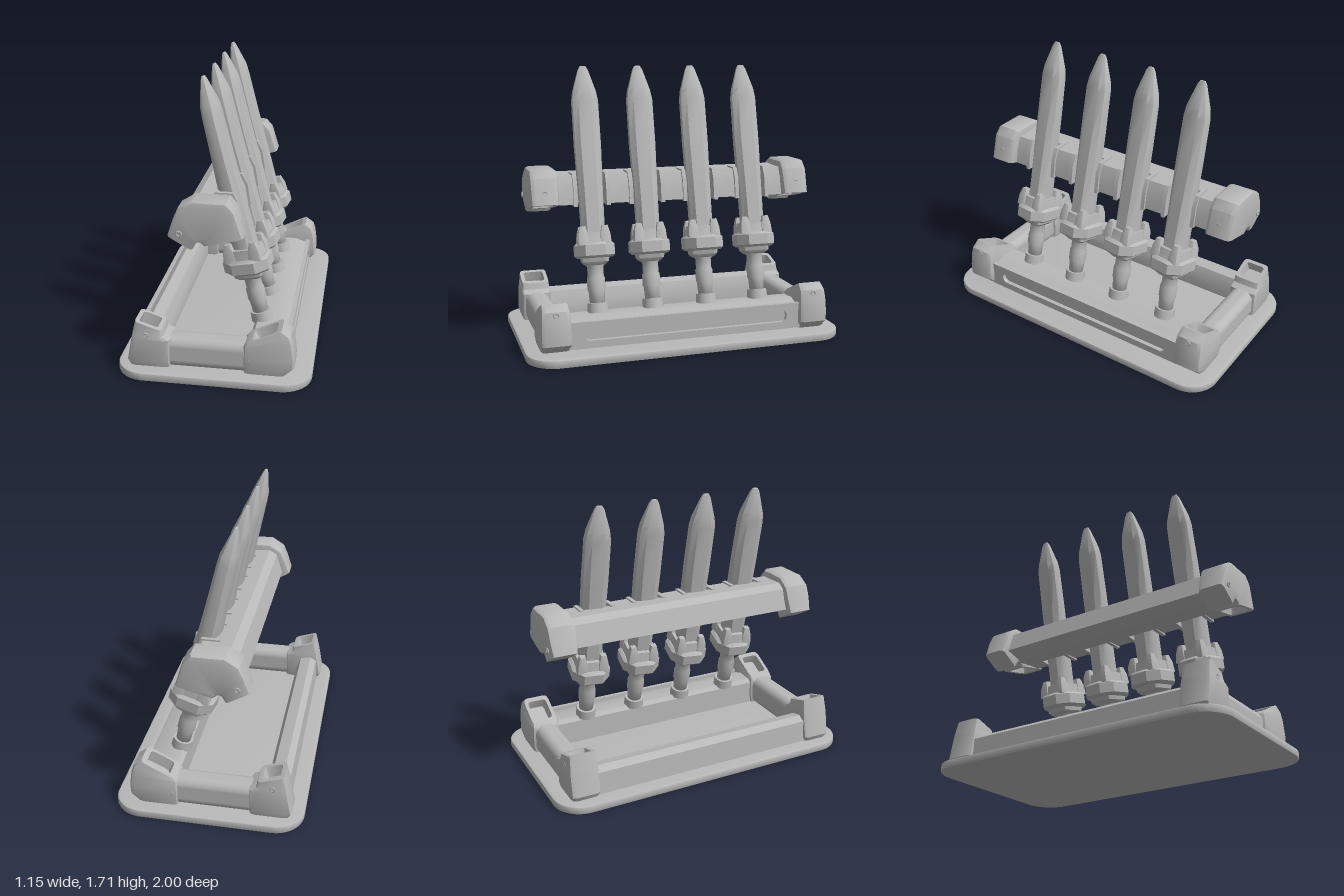
import * as THREE from 'three';
import { toCreasedNormals } from 'three/addons/utils/BufferGeometryUtils.js';
import { RoundedBoxGeometry } from 'three/addons/geometries/RoundedBoxGeometry.js';

const grey = new THREE.MeshStandardMaterial({ color: 0xb8b8b8 });
grey.name = 'plain grey';

// Unit cross-sections, counter-clockwise
const mirror4 = (q) => [0, 1, 2, 3].flatMap((k) => q.map(([u, v]) =>
  [[u, v], [-v, u], [-u, -v], [v, -u]][k]));
const ROUNDED = mirror4([[1, 0.7], [0.92, 0.92], [0.7, 1]]);
const BLADE = [[1, -0.5], [1, 0.5], [0.55, 0.92], [0, 1], [-0.55, 0.92], [-1, 0.5],
  [-1, -0.5], [-0.55, -0.92], [0, -1], [0.55, -0.92]];
const EIGHT = mirror4([[1, 0.5], [0.5, 1]]);

function mesh(name, geo, parent, x = 0, y = 0, z = 0) {
  const m = new THREE.Mesh(geo, grey);
  m.name = name;
  m.position.set(x, y, z);
  parent.add(m);
  return m;
}

// Skin through sections [ax, ay, bx, by, halfDepth]; pit > 0 hollows the last end
function loft(sections, ring = ROUNDED, pit = 0) {
  const list = [...sections];
  if (pit) {
    const [ax, ay, bx, by, h] = list[list.length - 1];
    const dx = bx - ax, dy = by - ay, len = Math.hypot(dx, dy), k = 0.15;
    const rim = [ax + dx * k, ay + dy * k, bx - dx * k, by - dy * k, h * 0.74];
    const sx = (dy / len) * pit, sy = (-dx / len) * pit;
    list.push(rim, [rim[0] + sx, rim[1] + sy, rim[2] + sx, rim[3] + sy, h * 0.66]);
  }
  const pos = [], idx = [], n = ring.length;
  for (const [ax, ay, bx, by, h] of list) {
    for (const [u, v] of ring) {
      const t = (u + 1) / 2;
      pos.push(ax + (bx - ax) * t, ay + (by - ay) * t, -v * h);
    }
  }
  for (let s = 0; s < list.length - 1; s++) {
    for (let i = 0; i < n; i++) {
      const a = s * n + i, b = s * n + (i + 1) % n;
      idx.push(a, b, b + n, a, b + n, a + n);
    }
  }
  const e = (list.length - 1) * n;
  for (let i = 1; i < n - 1; i++) idx.push(0, i + 1, i, e, e + i, e + i + 1);
  const g = new THREE.BufferGeometry();
  g.setAttribute('position', new THREE.Float32BufferAttribute(pos, 3));
  g.setIndex(idx);
  return toCreasedNormals(g, 0.6);
}

// Upright section list from [height, halfWidth, halfDepth]
const upright = (rows, ring) => loft(rows.map(([y, w, d]) => [-w, y, w, y, d]), ring);

// xy profile swept along z, centred
function bar(points, length) {
  const g = new THREE.ExtrudeGeometry(new THREE.Shape(points.map((p) => new THREE.Vector2(...p))),
    { depth: length, bevelEnabled: false });
  g.translate(0, 0, -length / 2);
  return toCreasedNormals(g, 0.5);
}

function roundRect(path, w, h, r) {
  path.moveTo(w - r, -h);
  path.absarc(w - r, -h + r, r, -Math.PI / 2, 0);
  path.absarc(w - r, h - r, r, 0, Math.PI / 2);
  path.absarc(-w + r, h - r, r, Math.PI / 2, Math.PI);
  path.absarc(-w + r, -h + r, r, Math.PI, Math.PI * 1.5);
  path.closePath();
  return path;
}

function makeSword() {
  const sword = new THREE.Group();
  sword.name = 'sword';
  mesh('pommel', new THREE.CylinderGeometry(0.062, 0.066, 0.06, 20), sword, 0, 0, 0);
  mesh('grip', new THREE.LatheGeometry([[0, 0.02], [0.046, 0.02], [0.05, 0.1], [0.056, 0.11], [0.056, 0.18],
    [0.05, 0.19], [0.05, 0.25], [0.07, 0.27], [0.07, 0.3], [0, 0.3]].map((p) => new THREE.Vector2(...p)), 16), sword);
  // Crossguard: collar, wide ring and pronged crown
  mesh('guardCollar', upright([[0.26, 0.065, 0.06], [0.28, 0.085, 0.082], [0.32, 0.095, 0.088]]), sword);
  mesh('guardRing', upright([[0.305, 0.125, 0.105], [0.32, 0.14, 0.122], [0.385, 0.14, 0.122], [0.4, 0.125, 0.105]], EIGHT), sword);
  mesh('guardCrown', upright([[0.39, 0.115, 0.1], [0.46, 0.1, 0.092]]), sword);
  for (const sx of [-1, 1]) {
    for (const sz of [-1, 1]) {
      mesh('guardProng', upright([[0.39, 0.04, 0.035], [0.45, 0.035, 0.03], [0.5, 0.018, 0.018]]),
        sword, sx * 0.078, 0, sz * 0.068);
    }
  }
  mesh('blade', upright([[0.42, 0.076, 0.074], [0.7, 0.068, 0.078], [1.0, 0.057, 0.085], [1.28, 0.051, 0.084],
    [1.34, 0.048, 0.074], [1.475, 0.016, 0.032], [1.498, 0.008, 0.018]], BLADE), sword);
  sword.rotation.set(0, 0, 0.231);
  sword.rotateY(-0.14);
  return sword;
}

export function createModel() {
  const model = new THREE.Group();
  model.name = 'swordRack';

  // Base plate
  const plate = new THREE.ExtrudeGeometry(roundRect(new THREE.Shape(), 0.565, 0.99, 0.17),
    { depth: 0.03, bevelThickness: 0.01, bevelSize: 0.01, bevelSegments: 2, curveSegments: 10 });
  plate.rotateX(-Math.PI / 2);
  mesh('basePlate', toCreasedNormals(plate, 0.6), model, 0, 0.01, 0);

  // Long rails, the outer one with a slotted face
  mesh('swordRail', bar([[0.2, 0.045], [0.41, 0.045], [0.41, 0.2], [0.33, 0.228], [0.22, 0.222], [0.2, 0.2]], 1.52), model);
  const face = roundRect(new THREE.Shape(), 0.75, 0.082, 0.02);
  face.holes.push(roundRect(new THREE.Path(), 0.65, 0.036, 0.034));
  const slot = new THREE.ExtrudeGeometry(face, { depth: 0.028, bevelEnabled: false });
  slot.rotateY(Math.PI / 2);
  mesh('slottedFace', slot, model, 0.408, 0.14, 0);
  mesh('plainRail', bar([[-0.48, 0.045], [-0.33, 0.045], [-0.33, 0.13], [-0.36, 0.205], [-0.43, 0.22], [-0.47, 0.19]], 1.52), model);

  // Top beam with resting blocks between the blades
  mesh('topBeam', bar([[-0.2, 0.89], [-0.06, 0.85], [0.02, 0.86], [0.0, 1.045], [-0.11, 1.05], [-0.16, 1.02]], 1.52), model);
  const swordZ = [-0.528, -0.176, 0.176, 0.528];
  const edges = [-0.75, ...swordZ.flatMap((z) => [z - 0.09, z + 0.09]), 0.75];
  for (let i = 0; i < edges.length; i += 2) {
    const a = edges[i], b = edges[i + 1];
    mesh('restBlock', bar([[-0.02, 0.86], [0.12, 0.87], [0.1, 0.98], [0.07, 1.045], [-0.02, 1.045]], b - a), model, 0, 0, (a + b) / 2);
    // Raised lips beside each blade
    for (const [z, s] of [[a, 1], [b, -1]]) {
      if (Math.abs(z) > 0.7) continue;
      mesh('restLip', bar([[-0.03, 0.86], [0.135, 0.86], [0.115, 0.99], [0.08, 1.055], [-0.03, 1.055]], 0.025),
        model, 0, 0, z + s * 0.0125);
    }
  }

  // Swords
  for (const z of swordZ) {
    const s = makeSword();
    s.position.set(0.237, 0.245, z);
    model.add(s);
  }

  // End pieces, mirrored front to back
  for (const s of [-1, 1]) {
    const z = s * 0.823;
    mesh('endRail', new RoundedBoxGeometry(0.56, 0.19, 0.15, 4, 0.055), model, -0.04, 0.135, z);
    mesh('cornerBlockA', loft([[-0.49, 0.045, -0.25, 0.045, 0.085], [-0.507, 0.08, -0.25, 0.08, 0.095],
      [-0.48, 0.225, -0.25, 0.225, 0.095], [-0.475, 0.25, -0.29, 0.245, 0.092],
      [-0.455, 0.335, -0.3, 0.285, 0.086]], ROUNDED, 0.07), model, 0, 0, z);
    mesh('cornerBlockB', loft([[0.18, 0.045, 0.42, 0.045, 0.085], [0.178, 0.1, 0.475, 0.1, 0.095],
      [0.178, 0.15, 0.477, 0.16, 0.095], [0.18, 0.215, 0.465, 0.25, 0.092],
      [0.185, 0.225, 0.45, 0.3, 0.088], [0.2, 0.24, 0.4, 0.338, 0.082]], ROUNDED, 0.07), model, 0, 0, z);
    mesh('beamCap', loft([[-0.25, 0.88, -0.11, 0.8, 0.08], [-0.22, 0.97, -0.085, 0.845, 0.088],
      [-0.19, 1.04, -0.07, 0.845, 0.088], [-0.11, 1.09, -0.06, 0.84, 0.086], [0.085, 1.09, -0.055, 0.835, 0.086],
      [0.13, 1.04, -0.052, 0.833, 0.088], [0.178, 0.885, -0.05, 0.828, 0.084]], ROUNDED, 0.07), model, 0, 0, z);

    // Small rivets on the outer faces
    for (const [x, y] of [[-0.39, 0.25], [-0.31, 0.14], [0.225, 0.14], [-0.18, 0.9]]) {
      const r = mesh('rivet', new THREE.TorusGeometry(0.014, 0.006, 6, 14), model, x, y, z + s * 0.089);
      if (s < 0) r.rotation.y = Math.PI;
    }
    for (const [x, y] of [[0.455, 0.28], [0.152, 0.95]]) {
      mesh('rivet', new THREE.TorusGeometry(0.014, 0.006, 6, 14), model, x, y, z).rotation.y = Math.PI / 2;
    }
  }
  return model;
}
